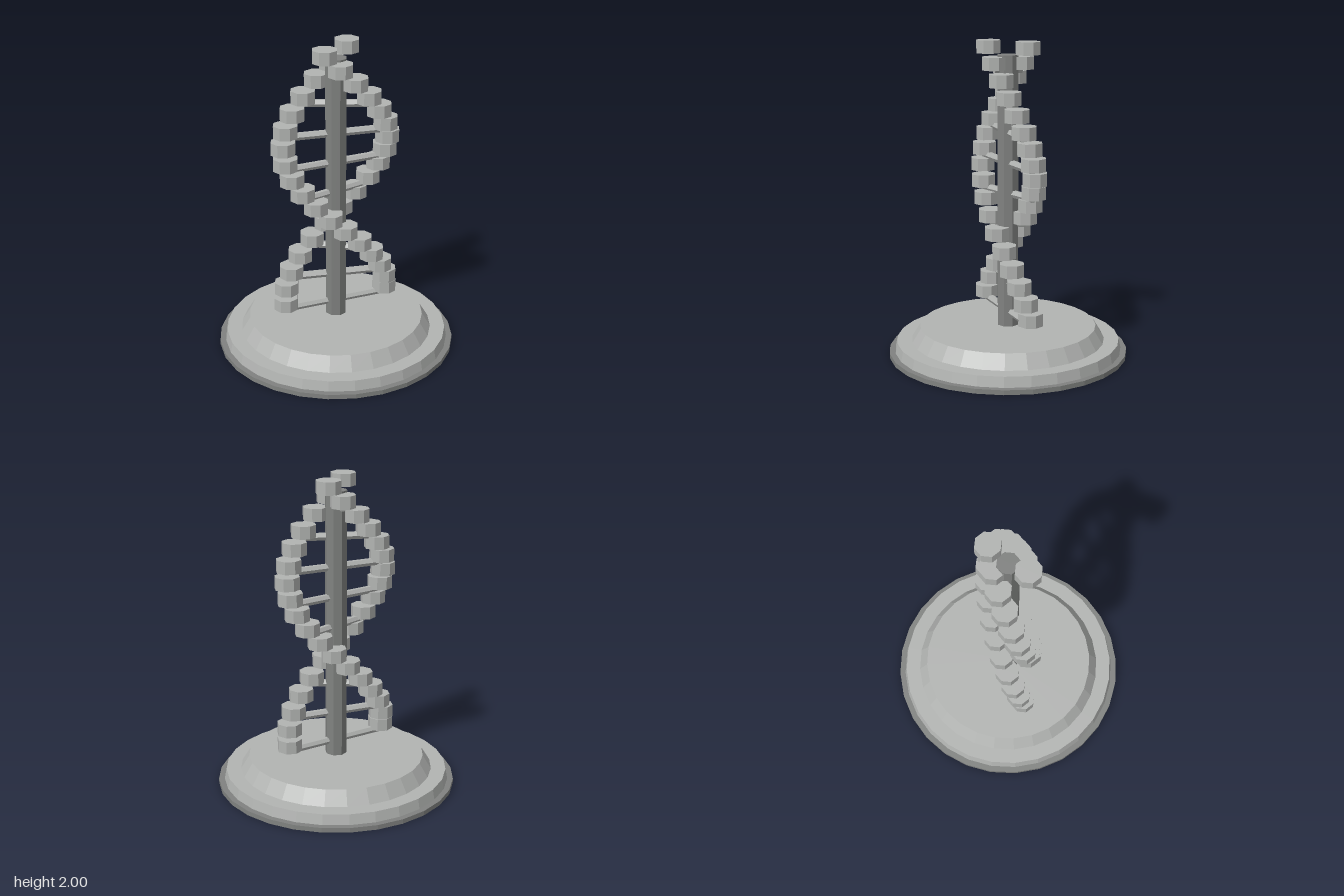
import * as THREE from 'three';

const light = new THREE.MeshStandardMaterial({ color: 0xb2b4b2, flatShading: true });
light.name = 'light grey';
const dark = new THREE.MeshStandardMaterial({ color: 0x808280, flatShading: true });
dark.name = 'dark grey';

function cylinder(name, material, rTop, rBottom, y0, y1, sides) {
  const mesh = new THREE.Mesh(new THREE.CylinderGeometry(rTop, rBottom, y1 - y0, sides), material);
  mesh.name = name;
  mesh.position.y = (y0 + y1) / 2;
  return mesh;
}

export function createModel() {
  const model = new THREE.Group();
  model.name = 'doubleHelixOnStand';

  // Stepped round base and centre post
  model.add(
    cylinder('baseRim', dark, 0.765, 0.765, 0, 0.03, 28),
    cylinder('baseStep', light, 0.715, 0.728, 0.03, 0.095, 28),
    cylinder('baseTop', light, 0.565, 0.62, 0.095, 0.185, 28),
    cylinder('centrePost', dark, 0.07, 0.07, 0.185, 1.915, 8)
  );

  // Two flattened strands of beads, with a rung at every second level
  const levels = 18, y0 = 0.32, y1 = 1.96, turn = Math.PI * 1.6;
  const radiusX = 0.345, radiusZ = 0.09;
  const beadGeometry = new THREE.CylinderGeometry(0.08, 0.08, 0.08, 8);
  const strands = [1, -1].map((side) => {
    const strand = new THREE.Group();
    strand.name = side > 0 ? 'leftStrand' : 'rightStrand';
    model.add(strand);
    return { side, strand };
  });
  const rungs = new THREE.Group();
  rungs.name = 'rungs';
  model.add(rungs);

  for (let i = 0; i < levels; i++) {
    const t = i / (levels - 1);
    const x = radiusX * Math.cos(turn * t);
    const z = radiusZ * Math.sin(turn * t);
    const y = y0 + (y1 - y0) * t;
    for (const { side, strand } of strands) {
      const bead = new THREE.Mesh(beadGeometry, light);
      bead.name = 'bead';
      bead.position.set(side * x, y, side * z);
      strand.add(bead);
    }
    if (i % 2 === 0) {
      const rod = new THREE.CylinderGeometry(0.025, 0.025, 2 * Math.hypot(x, z), 6);
      rod.rotateZ(Math.PI / 2);
      const rung = new THREE.Mesh(rod, light);
      rung.name = 'rung';
      rung.position.y = y - 0.043;
      rung.rotation.y = Math.atan2(-z, x);
      rungs.add(rung);
    }
  }
  return model;
}
